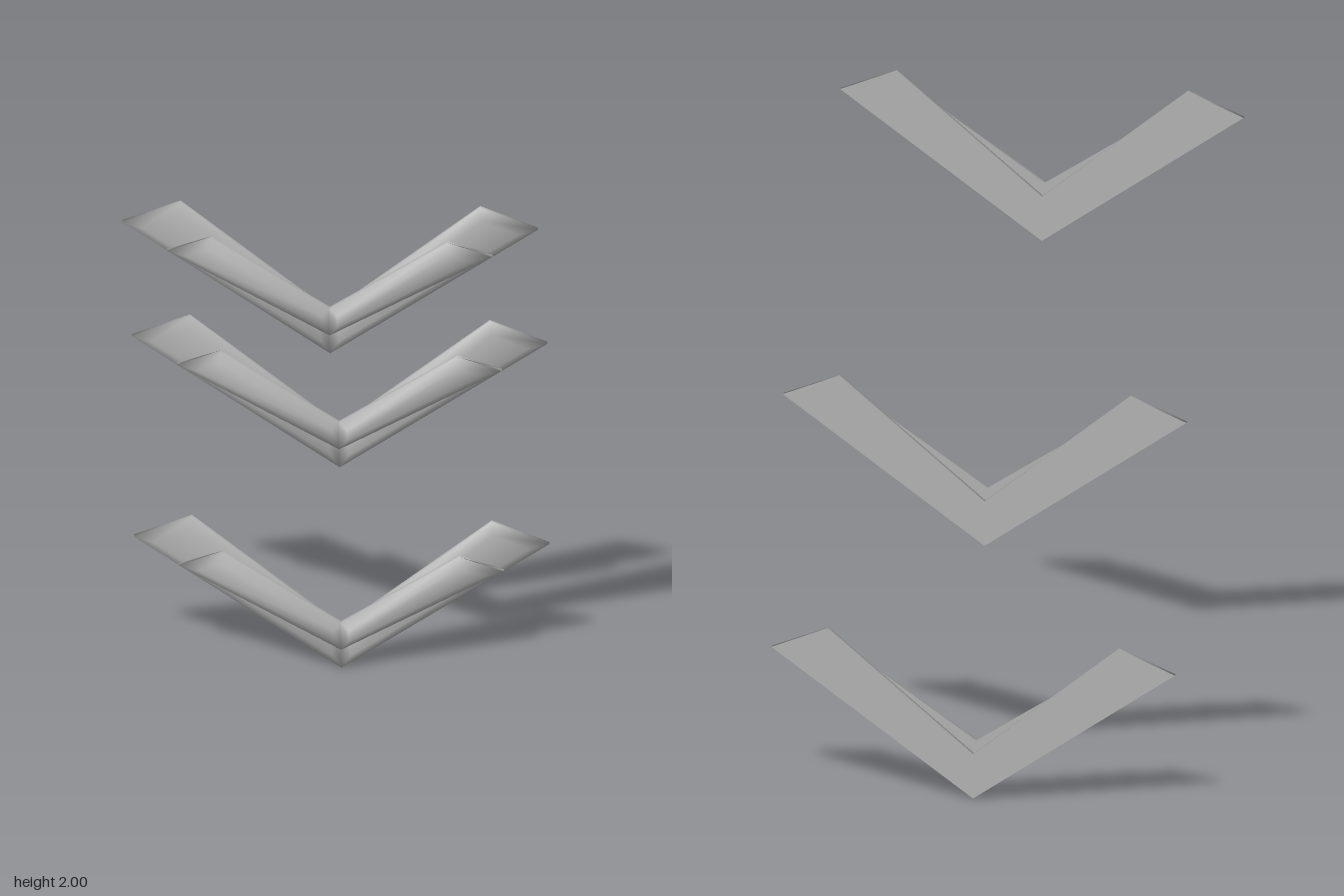
import * as THREE from 'three';

const RIM = 0.014, DEPTH = 0.038;

// Moves every edge of a counter-clockwise outline inwards by d
function inset(pts, d) {
  const n = pts.length;
  return pts.map((p, i) => {
    const a = pts[(i + n - 1) % n], b = pts[(i + 1) % n];
    const u = new THREE.Vector2(p[0] - a[0], p[1] - a[1]).normalize();
    const v = new THREE.Vector2(b[0] - p[0], b[1] - p[1]).normalize();
    const k = d / (1 + u.dot(v));
    return [p[0] - (u.y + v.y) * k, p[1] + (u.x + v.x) * k];
  });
}

// Bevelled bar: flat back, short rim, smooth bevel up to an inset front face
function barGeometry(outline, bevel) {
  const n = outline.length, pos = [], index = [];
  const ring = (pts, z) => pts.forEach(([x, y]) => pos.push(x, y, z));
  ring(outline, 0);
  ring(outline, RIM);
  ring(inset(outline, bevel), DEPTH);
  for (let r = 0; r < 2; r++) {
    for (let i = 0; i < n; i++) {
      const a = r * n + i, b = r * n + (i + 1) % n;
      index.push(a, b, b + n, a, b + n, a + n);
    }
  }
  const f = 2 * n;
  index.push(f, f + 1, f + 2, f, f + 2, f + 3);
  // separate back vertices keep the back flat
  const k = 3 * n;
  ring(outline, 0);
  index.push(k, k + 2, k + 1, k, k + 3, k + 2);
  const g = new THREE.BufferGeometry();
  g.setAttribute('position', new THREE.Float32BufferAttribute(pos, 3));
  g.setIndex(index);
  g.computeVertexNormals();
  return g;
}

export function createModel() {
  const model = new THREE.Group();
  model.name = 'chevrons';
  const grey = new THREE.MeshStandardMaterial({ color: 0xb0b0b0 });
  grey.name = 'grey';

  // Left-arm outlines: bottom apex, outer tip, upper corner, inner apex
  const layers = [
    { name: 'backArm', z: 0, bevel: 0.028,
      outline: [[0, 0], [0.624, 0.43], [0.45, 0.5], [0, 0.138]] },
    { name: 'frontArm', z: DEPTH, bevel: 0.024,
      outline: [[0, 0.08], [0.488, 0.355], [0.355, 0.4], [0, 0.17]] },
  ];
  const parts = [];
  for (const { name, z, bevel, outline } of layers) {
    const mirrored = outline.map(([x, y]) => [-x, y]).reverse();
    parts.push({ name: name + 'Left', z, geometry: barGeometry(outline, bevel) });
    parts.push({ name: name + 'Right', z, geometry: barGeometry(mirrored, bevel) });
  }

  // Three chevrons at different heights and depths
  const places = [['lowerChevron', 0, -0.463], ['middleChevron', 0.75, -0.321], ['upperChevron', 1.5, 0.386]];
  for (const [name, y, z] of places) {
    const chevron = new THREE.Group();
    chevron.name = name;
    chevron.position.set(0, y, z);
    for (const part of parts) {
      const mesh = new THREE.Mesh(part.geometry, grey);
      mesh.name = part.name;
      mesh.position.z = part.z;
      chevron.add(mesh);
    }
    model.add(chevron);
  }
  return model;
}
